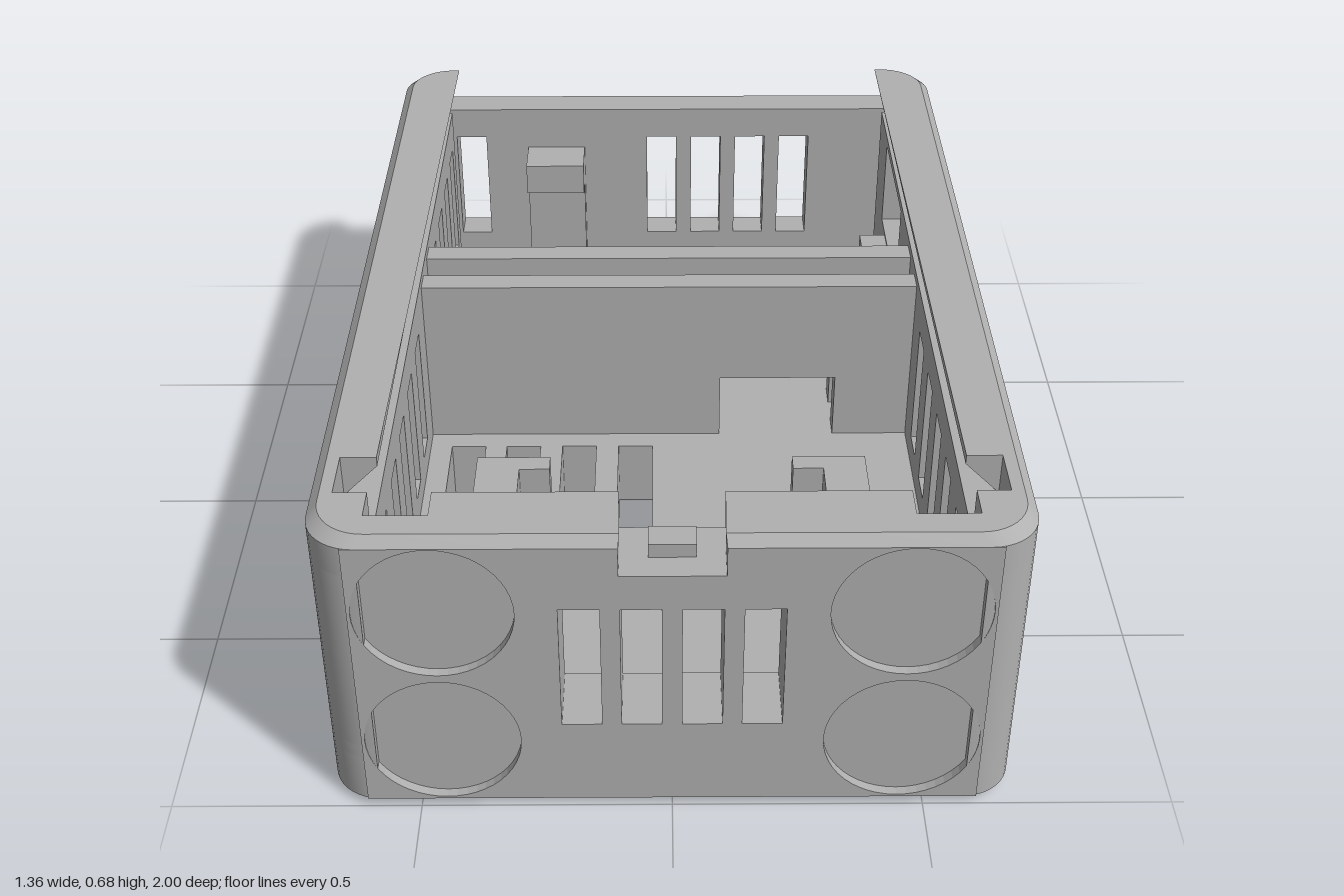
import * as THREE from 'three';
import { toCreasedNormals } from 'three/addons/utils/BufferGeometryUtils.js';

const W = 0.68, D = 1, R = 0.1;             // half width, half depth, corner radius
const FLOOR = 0.16, LEDGE = 0.59, LIP = 0.655, TOP = 0.675;
const FACE = 0.98;                          // back of the thin front face plate

export function createModel() {
  const model = new THREE.Group();
  const plastic = new THREE.MeshStandardMaterial({ color: 0xb0b0b0 });
  plastic.name = 'grey plastic';

  const add = (name, geometry) => {
    const mesh = new THREE.Mesh(geometry, plastic);
    mesh.name = name;
    model.add(mesh);
    return mesh;
  };
  const v = (x, y) => new THREE.Vector2(x, y);
  const rect = (a, b, c, d) => [v(a, c), v(b, c), v(b, d), v(a, d)];
  const arc = (cx, cy, r, from, to, n = 10) => Array.from({ length: n + 1 }, (_, i) => {
    const t = from + (to - from) * i / n;
    return v(cx + r * Math.cos(t), cy + r * Math.sin(t));
  });
  const circle = (x, y, r) => arc(x, y, r, 0, Math.PI * 2, 48).slice(0, 48);
  const extrude = (pts, holes, depth) => {
    const shape = new THREE.Shape(pts);
    shape.holes = holes.map((h) => new THREE.Path(h));
    return new THREE.ExtrudeGeometry(shape, { depth, bevelEnabled: false });
  };

  // Horizontal layer drawn in (x, z); move() may shift its vertices
  const slab = (name, pts, holes, y0, y1, move) => {
    const g = extrude(pts, holes, y1 - y0).rotateX(Math.PI / 2).translate(0, y1, 0);
    const p = g.attributes.position;
    if (move) {
      for (let i = 0; i < p.count; i++) {
        const [x, z] = move(p.getX(i), p.getY(i), p.getZ(i));
        p.setX(i, x);
        p.setZ(i, z);
      }
    }
    return add(name, toCreasedNormals(g, 0.5));
  };
  // Upright walls: across the box in (x, y), or along it in (-z, y)
  const crossWall = (name, pts, holes, z0, z1) =>
    add(name, extrude(pts, holes, z1 - z0).translate(0, 0, z0));
  const sideWall = (name, pts, holes, x0, x1) =>
    add(name, extrude(pts, holes, x1 - x0).rotateY(Math.PI / 2).translate(x0, 0, 0));
  const box = (name, x0, x1, y0, y1, z0, z1) =>
    add(name, new THREE.BoxGeometry(x1 - x0, y1 - y0, z1 - z0)
      .translate((x0 + x1) / 2, (y0 + y1) / 2, (z0 + z1) / 2));

  // Outline of half the case, from back to front
  const half = (s) => [
    ...arc(W - R, -D + R, R, -Math.PI / 2, 0), ...arc(W - R, D - R, R, 0, Math.PI / 2),
  ].map((p) => v(p.x * s, p.y));
  const outline = (front) => [
    ...half(1), v(W - R, front), v(R - W, front), ...half(-1).reverse(),
  ];
  const chamfer = (level) => (x, y, z) =>
    Math.abs(y - level) < 1e-4 && (Math.abs(x) > 0.64 || Math.abs(z) > 0.93)
      ? [x * (W - 0.02) / W, z * (D - 0.02) / D] : [x, z];

  // Floor with vents and blind keyholes for wall mounting
  const vents = [-0.475, -0.345, -0.213, -0.08].map((x) => rect(x - 0.04, x + 0.04, 0, 0.555));
  const keyholes = [-0.42, 0.72].map((z) => [
    ...arc(0.24, z, 0.14, -Math.PI / 2 + 0.29, Math.PI * 1.5 - 0.29, 40),
    ...arc(0.24, z - 0.25, 0.04, Math.PI, Math.PI * 2, 10),
  ]);
  slab('floor chamfer', outline(D), [...vents, ...keyholes], 0, 0.02, chamfer(0));
  slab('floor lower layer', outline(FACE), [...vents, ...keyholes], 0.02, 0.13);
  slab('floor upper layer', outline(FACE), vents, 0.13, FLOOR);

  // Rounded corner columns
  for (const sx of [-1, 1]) {
    for (const sz of [-1, 1]) {
      const pts = [v(W - R, D - R), ...arc(W - R, D - R, R, 0, Math.PI / 2)];
      slab('corner column', pts.map((p) => v(p.x * sx, p.y * sz)), [], FLOOR, LEDGE);
    }
  }

  // Side walls with vent slots, and a recessed port window on one side
  const slot = (u) => rect(u - 0.039, u + 0.039, 0.22, 0.51);
  const shared = [0.73, 0.563, 0.408, 0.248, 0.088, -0.138];
  const wall = rect(-0.9, 0.9, FLOOR, LEDGE);
  const slots = (list) => list.map((z) => slot(-z));
  const roundRect = (a, b, c, d, r) => [
    ...arc(b - r, c + r, r, -Math.PI / 2, 0), ...arc(b - r, d - r, r, 0, Math.PI / 2),
    ...arc(a + r, d - r, r, Math.PI / 2, Math.PI), ...arc(a + r, c + r, r, Math.PI, Math.PI * 1.5),
  ];
  sideWall('port side outer wall', wall,
    [...slots(shared), roundRect(0.33, 0.82, 0.27, 0.57, 0.06)], 0.635, W);
  sideWall('port side inner wall', wall,
    [...slots(shared), rect(0.4, 0.745, 0.355, 0.57)], 0.565, 0.635);
  sideWall('plain side wall', wall,
    slots([...shared, -0.33, -0.492, -0.652, -0.81]), -W, -0.565);

  // Back wall and front wall
  crossWall('back wall', rect(R - W, W - R, FLOOR, LEDGE),
    [0.337, 0.22, 0.103, -0.015, -0.52].map(slot), -D, -0.92);
  const frontSlots = [-0.175, -0.059, 0.058, 0.174].map(slot);
  crossWall('front wall', rect(R - W, W - R, FLOOR, LEDGE), frontSlots, 0.855, FACE);
  const pockets = [];
  for (const x of [-0.447, 0.447]) {
    for (const y of [0.178, 0.5]) pockets.push(circle(x, y, 0.1525));
  }
  crossWall('front face plate', [
    v(-0.606, 0.02), v(0.606, 0.02), v(0.606, LIP), v(0.1, LIP), v(0.1, LEDGE),
    v(-0.1, LEDGE), v(-0.1, LIP), v(-0.606, LIP),
  ], [...frontSlots, ...pockets], FACE, D);

  // Rim halves: an undercut lid groove below, a chamfered lip above
  const undercut = (x, y, z) => {
    if (Math.abs(y - LEDGE) > 1e-4) return [x, z];
    const a = Math.abs(x);
    if (Math.abs(a - 0.565) < 1e-3) return [Math.sign(x) * 0.63, Math.max(z, -0.975)];
    return Math.abs(z - 0.855) < 1e-3 && a < 0.5 ? [x, 0.92] : [x, z];
  };
  const inner = [
    [0.1, 0.855], [0.45, 0.855], [0.45, 0.925], [0.57, 0.925], [0.57, 0.855],
    [0.635, 0.855], [0.635, 0.745], [0.565, 0.745],
  ];
  for (const s of [-1, 1]) {
    const rim = (front) => [
      v(0.565 * s, -D), ...half(s), v((W - R) * s, front), v(0.1 * s, front),
      ...inner.map(([x, z]) => v(x * s, z)),
    ];
    slab('lid groove', rim(FACE), [], LEDGE, LIP, undercut);
    slab('rim lip', rim(D), [], LIP, TOP, chamfer(TOP));
  }
  box('lid catch', -0.045, 0.045, LEDGE, 0.62, 0.89, 0.945);

  // Double divider with a cable opening
  for (const z of [-0.235, -0.105]) {
    crossWall('divider', [
      v(-0.565, FLOOR), v(0.12, FLOOR), v(0.12, 0.32), v(0.39, 0.32), v(0.39, FLOOR),
      v(0.565, FLOOR), v(0.565, 0.57), v(-0.565, 0.57),
    ], [], z, z + 0.055);
  }

  // Channel posts near the front
  for (const s of [-1, 1]) {
    slab('channel post', [
      [0.385, 0.63], [0.385, 0.79], [0.24, 0.79], [0.24, 0.75],
      [0.3, 0.75], [0.3, 0.67], [0.24, 0.67], [0.24, 0.63],
    ].map(([x, z]) => v(x * s, z)), [], FLOOR, LEDGE);
  }

  // Board clips in the rear bay and the support under the port
  box('rear clip stem', -0.37, -0.22, FLOOR, 0.4, -0.92, -0.87);
  box('rear clip head', -0.37, -0.22, 0.4, 0.48, -0.92, -0.81);
  box('divider clip stem', -0.37, -0.22, FLOOR, 0.4, -0.285, -0.235);
  box('divider clip head', -0.37, -0.22, 0.4, 0.48, -0.34, -0.235);
  box('port support', 0.5, 0.565, FLOOR, 0.35, -0.67, -0.49);

  return model;
}
